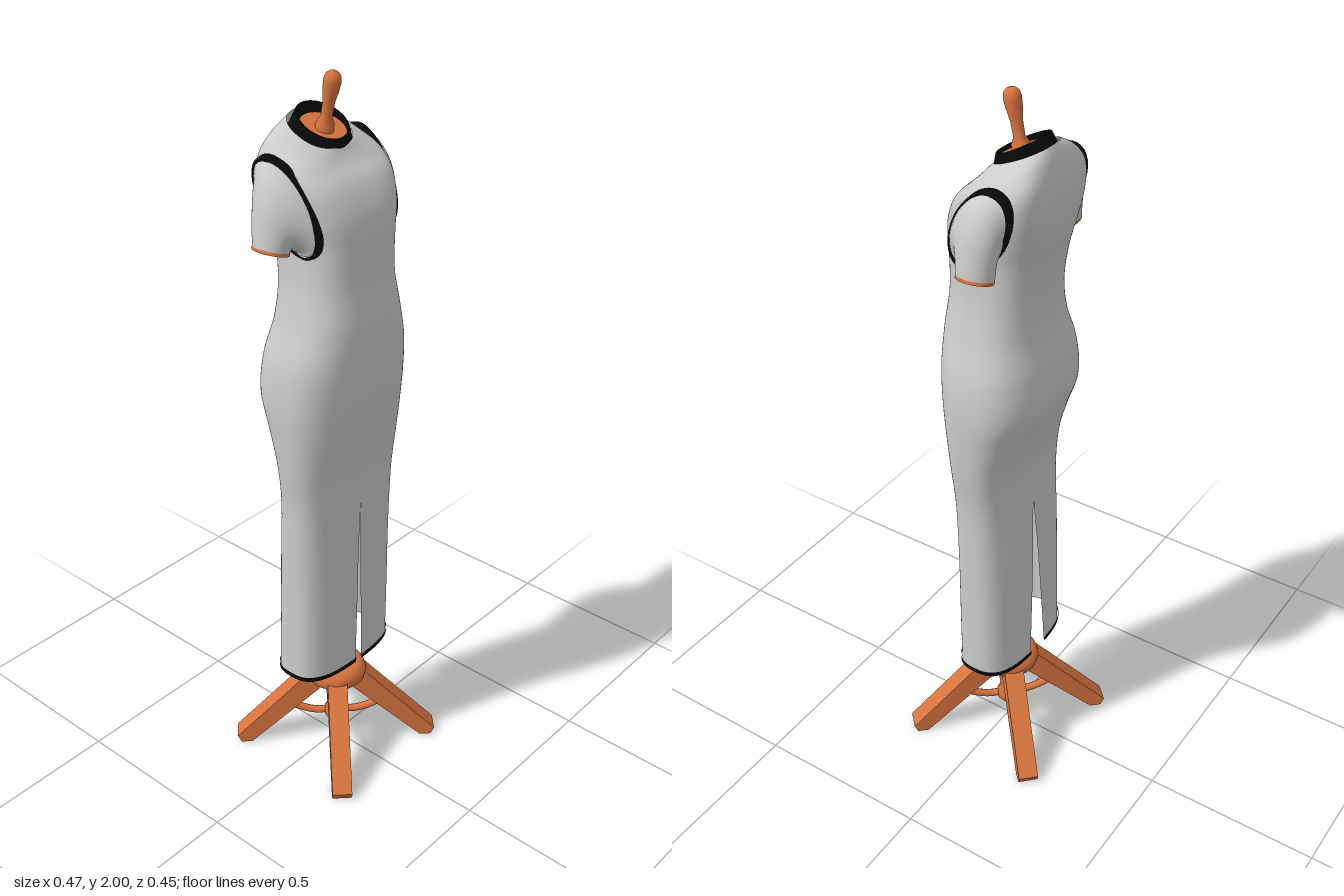
import * as THREE from 'three';
import { mergeVertices, mergeGeometries } from 'three/addons/utils/BufferGeometryUtils.js';

const mat = (color) => new THREE.MeshStandardMaterial({ color, side: THREE.DoubleSide });
const V = (x, y, z) => new THREE.Vector3(x, y, z);

// Skin a list of equally long point rows into a smooth surface
function skin(rows) {
  const pos = [], idx = [], w = rows[0].length;
  rows.forEach((row) => row.forEach((p) => pos.push(p.x, p.y, p.z)));
  for (let i = 0; i < rows.length - 1; i++) {
    for (let j = 0; j < w - 1; j++) {
      const a = i * w + j, b = a + 1, c = a + w, d = c + 1;
      idx.push(a, b, c, b, d, c);
    }
  }
  const g = new THREE.BufferGeometry();
  g.setAttribute('position', new THREE.Float32BufferAttribute(pos, 3));
  g.setIndex(idx);
  return g;
}

function smooth(g) {
  const m = mergeVertices(g, 1e-4);
  m.computeVertexNormals();
  return m;
}

// Ellipse of points around c, with half-axis vectors u and v
function ellipse(c, u, v, n = 40) {
  return Array.from({ length: n + 1 }, (_, i) => {
    const a = ((i % n) / n) * Math.PI * 2;
    return c.clone().addScaledVector(u, Math.cos(a)).addScaledVector(v, Math.sin(a));
  });
}

// Flat cap filling a ring
const cap = (ring, c) => skin([ring, ring.map(() => c)]);

// Body sections: height, half width, front z, back z, tilt, squareness
const SECTIONS = [
  [0.32, 0.18, 0.085, -0.1, 0, 2.8],
  [0.5, 0.18, 0.086, -0.095, 0, 2.8],
  [0.7, 0.18, 0.086, -0.088, 0, 2.8],
  [0.88, 0.182, 0.09, -0.08, 0, 2.8],
  [1.0, 0.194, 0.1, -0.087, 0, 2.7],
  [1.1, 0.202, 0.115, -0.115, 0, 2.6],
  [1.2, 0.206, 0.127, -0.147, 0, 2.6],
  [1.3, 0.196, 0.134, -0.142, 0, 2.6],
  [1.4, 0.166, 0.135, -0.122, 0, 2.6],
  [1.5, 0.146, 0.126, -0.12, 0, 2.6],
  [1.6, 0.141, 0.126, -0.133, 0, 2.8],
  [1.68, 0.15, 0.118, -0.148, 0, 3.2],
  [1.75, 0.155, 0.085, -0.152, 0, 4],
  [1.8, 0.15, 0.045, -0.148, 0.1, 4],
  [1.835, 0.12, 0.028, -0.135, 0.3, 3],
  [1.857, 0.08, 0.02, -0.122, 0.45, 2.3],
];
const curves = [0, 2, 4].map((k) => new THREE.SplineCurve(
  SECTIONS.map((s) => new THREE.Vector2(s[k], s[k + 1]))));

// Half section on side s at parameter t, open at the slits below y = 0.86
function halfSection(t, s, grow) {
  const [{ x: y, y: a0 }, { x: zf, y: zb }, { x: tilt, y: n }] = curves.map((c) => c.getPoint(t));
  const a = a0 + grow, mid = (zf + zb) / 2, h = (zf - zb) / 2 + grow;
  const open = Math.max(0, (0.86 - y) / 0.53);
  const start = Math.asin(Math.pow((0.012 * open) / a, n / 2));
  const end = Math.PI - Math.asin(Math.pow((0.035 * open) / a, n / 2));
  return Array.from({ length: 45 }, (_, i) => {
    const th = start + ((end - start) * i) / 44, c = Math.cos(th);
    const dz = h * Math.sign(c) * Math.pow(Math.abs(c), 2 / n);
    return V(s * a * Math.pow(Math.max(0, Math.sin(th)), 2 / n), y - tilt * dz, mid + dz);
  });
}

function bodySurface(t0, t1, steps, grow) {
  const halves = [1, -1].map((s) => skin(Array.from({ length: steps + 1 }, (_, i) => {
    const row = halfSection(t0 + ((t1 - t0) * i) / steps, s, grow);
    return s > 0 ? row : row.reverse(); // keeps the winding alike on both sides
  })));
  return smooth(mergeGeometries(halves));
}

export function createModel() {
  const model = new THREE.Group();
  const cloth = mat(0xcccccc), trim = mat(0x080808), wood = mat(0xd8743f);
  const add = (name, geo, material, parent = model) => {
    const m = new THREE.Mesh(geo, material);
    m.name = name;
    parent.add(m);
    return m;
  };
  const lathe = (pts, n = 32) => new THREE.LatheGeometry(pts.map((p) => new THREE.Vector2(...p)), n);

  // Dress with front and back slits, and its hem
  add('dress', bodySurface(0, 1, 110, 0), cloth);
  add('hemTrim', bodySurface(0, 0.0085, 2, 0.003), trim);
  // Mannequin torso inside the dress
  add('torso', bodySurface(0.26, 0.95, 40, -0.012), wood);
  const belly = curves[0].getPoint(0.26);
  add('torsoBase', smooth(cap(ellipse(V(0, belly.x, 0.01), V(0.165, 0, 0), V(0, 0, 0.075)), V(0, belly.x, 0.01))), wood);

  // Stand collar, higher at the back
  add('collar', smooth(skin([
    ellipse(V(0, 1.838, -0.052), V(0.085, 0, 0), V(0, -0.018, 0.074)),
    ellipse(V(0, 1.857, -0.048), V(0.077, 0, 0), V(0, -0.024, 0.07)),
    ellipse(V(0, 1.876, -0.042), V(0.068, 0, 0), V(0, -0.031, 0.063)),
    ellipse(V(0, 1.876, -0.042), V(0.062, 0, 0), V(0, -0.031, 0.058)),
    ellipse(V(0, 1.84, -0.042), V(0.062, 0, 0), V(0, -0.025, 0.058)),
  ])), trim);

  // Neck end and tilted knob
  const neck = V(0, 1.857, -0.036);
  add('neckCap', smooth(cap(ellipse(neck, V(0.063, 0, 0), V(0, -0.024, 0.058)), neck)), wood);
  const knob = add('neckKnob', lathe([[0.024, -0.01], [0.022, 0.015], [0.014, 0.03], [0.015, 0.07],
    [0.02, 0.1], [0.022, 0.122], [0.019, 0.136], [0.011, 0.144], [0, 0.146]]), wood);
  knob.position.set(0, 1.857, -0.036);
  knob.rotation.x = 0.21;

  // Sleeves, armhole trims and arm ends
  for (const s of [1, -1]) {
    const arm = new THREE.Group();
    arm.name = s > 0 ? 'leftSleeve' : 'rightSleeve';
    model.add(arm);
    const ring = (c, u, v) => ellipse(V(s * c[0], c[1], c[2]), V(s * u[0], u[1], u[2]), V(s * v[0], v[1], v[2]));
    const keys = [
      ring([0.11, 1.705, -0.02], [0, 0.095, -0.02], [0, -0.025, 0.075]),
      ring([0.153, 1.705, -0.02], [0.007, 0.11, -0.025], [-0.01, -0.03, 0.088]),
      ring([0.168, 1.695, -0.025], [0.022, 0.095, -0.02], [0, -0.02, 0.075]),
      ring([0.183, 1.665, -0.03], [0.034, 0.065, -0.01], [0, -0.01, 0.06]),
      ring([0.19, 1.635, -0.034], [0.039, 0.033, -0.003], [0, 0, 0.052]),
      ring([0.193, 1.61, -0.035], [0.042, 0.012, 0], [0, 0, 0.048]),
    ];
    const along = keys[0].map((_, j) => new THREE.CatmullRomCurve3(keys.map((k) => k[j])).getPoints(20));
    add('sleeve', smooth(skin(along)), cloth, arm);
    add('armholeTrim', smooth(skin([
      ring([0.135, 1.705, -0.02], [0.004, 0.108, -0.025], [-0.011, -0.03, 0.088]),
      ring([0.143, 1.705, -0.02], [0.007, 0.117, -0.026], [-0.011, -0.031, 0.093]),
      ring([0.158, 1.704, -0.02], [0.008, 0.115, -0.026], [-0.01, -0.031, 0.092]),
      ring([0.163, 1.702, -0.02], [0.008, 0.106, -0.025], [-0.01, -0.03, 0.084]),
    ])), trim, arm);
    const end = ring([0.195, 1.602, -0.035], [0.042, 0.012, 0], [0, 0, 0.048]);
    add('armEnd', smooth(skin([keys[5], end])), wood, arm);
    add('armEndCap', smooth(cap(end, V(s * 0.195, 1.602, -0.035))), wood, arm);
  }

  // Pole with clamp ball, hub and pendant
  const pole = add('pole', new THREE.CylinderGeometry(0.021, 0.021, 0.8, 24), wood);
  pole.position.y = 0.62;
  const ball = add('poleBall', new THREE.SphereGeometry(0.036, 24, 16), wood);
  ball.position.y = 0.51;
  add('hub', lathe([[0, 0.215], [0.07, 0.215], [0.084, 0.228], [0.088, 0.247], [0.082, 0.266],
    [0.066, 0.278], [0.035, 0.282], [0.024, 0.29], [0, 0.29]]), wood);
  add('pendant', lathe([[0, 0.058], [0.022, 0.062], [0.033, 0.076], [0.034, 0.095], [0.025, 0.115],
    [0.028, 0.17], [0.036, 0.22]]), wood);

  // Four splayed legs with curved braces
  const side = new THREE.Shape([[0.04, 0.25], [0.08, 0.25], [0.292, 0.022], [0.282, 0], [0.25, 0], [0.05, 0.19]]
    .map((p) => new THREE.Vector2(...p)));
  const legGeo = new THREE.ExtrudeGeometry(side, { depth: 0.056, bevelEnabled: false }).translate(0, 0, -0.028);
  const braceGeo = new THREE.TubeGeometry(new THREE.CatmullRomCurve3(
    [V(0.02, 0.09, 0), V(0.06, 0.09, 0), V(0.105, 0.105, 0), V(0.145, 0.13, 0)]), 12, 0.011, 10);
  for (let k = 0; k < 4; k++) {
    const leg = new THREE.Group();
    leg.name = 'standLeg' + (k + 1);
    leg.rotation.y = Math.PI / 4 + (k * Math.PI) / 2;
    add('leg', legGeo, wood, leg);
    add('brace', braceGeo, wood, leg);
    model.add(leg);
  }
  return model;
}
